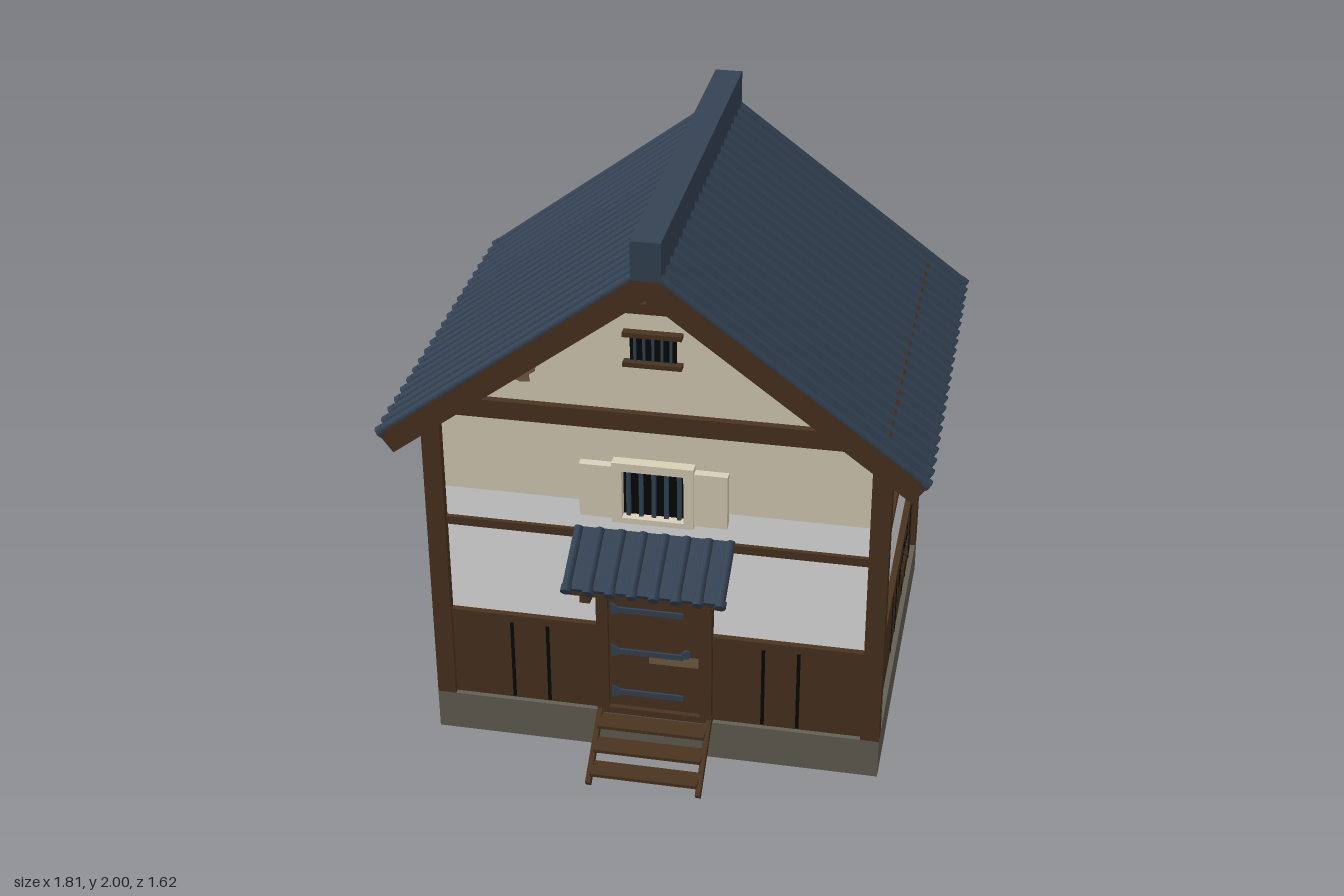
import * as THREE from 'three';

const mat = (name, color) => Object.assign(new THREE.MeshStandardMaterial({ color }), { name });
const M = {
  plaster: mat('cream plaster', 0xdbd1ba),
  white: mat('white plaster', 0xe6e6e6),
  pale: mat('pale plaster', 0xe0dacb),
  wood: mat('dark wood', 0x4a3320),
  tile: mat('slate blue tile', 0x344354),
  stone: mat('foundation stone', 0x636055),
  black: mat('black opening', 0x050607),
  worn: mat('worn plaster', 0x735e44),
};
const ZC = -0.065; // house centre in z
const SLOPE = 0.641; // main roof pitch

function add(parent, name, geo, material, x = 0, y = 0, z = 0) {
  const m = new THREE.Mesh(geo, material);
  m.name = name;
  m.position.set(x, y, z);
  parent.add(m);
  return m;
}
// box given by its lower and upper limits on each axis
function box(parent, name, material, x0, x1, y0, y1, z0, z1) {
  return add(parent, name, new THREE.BoxGeometry(x1 - x0, y1 - y0, z1 - z0), material,
    (x0 + x1) / 2, (y0 + y1) / 2, (z0 + z1) / 2);
}
function group(parent, name, x = 0, y = 0, z = 0) {
  const g = new THREE.Group();
  g.name = name;
  g.position.set(x, y, z);
  parent.add(g);
  return g;
}
function plate(points, depth, hole) {
  const toPoints = (p) => p.map(([x, y]) => new THREE.Vector2(x, y));
  const s = new THREE.Shape(toPoints(points));
  if (hole) s.holes.push(new THREE.Path(toPoints(hole)));
  return new THREE.ExtrudeGeometry(s, { depth, bevelEnabled: false });
}
const rect = (w, y0, y1) => [[-w, y0], [w, y0], [w, y1], [-w, y1]];

// ragged patch where the plaster has come off
function wornPatch(parent, x, y, r, z) {
  const pts = [];
  for (let i = 0; i < 14; i++) {
    const a = (i / 14) * Math.PI * 2, k = r * (0.8 + 0.2 * Math.sin(i * 2.3));
    pts.push([Math.cos(a) * k * 1.2, Math.sin(a) * k * 0.8]);
  }
  add(parent, 'wornPatch', plate(pts, 0.004), M.worn, x, y, z);
}

// barred window with a thick plaster frame and two open shutters
function barredWindow(parent, dist) {
  const g = group(parent, 'window', 0, 0, dist - 0.035);
  add(g, 'windowFrame', plate(rect(0.135, 0.95, 1.175), 0.045, rect(0.102, 0.97, 1.145)), M.plaster);
  box(g, 'windowOpening', M.black, -0.102, 0.102, 0.97, 1.145, 0.006, 0.012);
  for (let i = 0; i < 5; i++) {
    const x = -0.084 + i * 0.042;
    box(g, 'windowBar', M.tile, x - 0.007, x + 0.007, 0.97, 1.145, 0.012, 0.026);
  }
  for (const s of [-1, 1]) box(g, 'shutter', M.plaster, s * 0.19 - 0.055, s * 0.19 + 0.055, 0.96, 1.155, 0, 0.036);
}

// one wall: local x along it, local z outwards
function wall(parent, name, angle, half, dist, grooves, lower, band) {
  const g = group(parent, name, 0, 0, ZC);
  g.rotation.y = angle;
  const w = half - 0.04;
  const p = dist - 0.03; // plaster plane
  box(g, 'wainscot', M.wood, -w, w, 0.17, 0.5, p - 0.02, dist - 0.018);
  box(g, 'wainscotRail', M.wood, -w, w, 0.49, 0.52, p - 0.02, dist - 0.008);
  for (const x of grooves) box(g, 'plankGap', M.black, x - 0.006, x + 0.006, 0.175, 0.49, p, dist - 0.016);
  box(g, 'lowerPlaster', lower, -w, w, 0.52, 0.86, p - 0.02, p);
  box(g, 'middleRail', M.wood, -w, w, 0.86, 0.89, p - 0.02, dist - 0.015);
  box(g, 'bandPlaster', band, -w, w, 0.89, 1.0, p - 0.02, p);
  return g;
}

function gable(g, dist) {
  const p = dist - 0.03;
  add(g, 'gablePlaster', plate([[-0.74, 1], [0.74, 1], [0.74, 1.29], [0, 1.86], [-0.74, 1.29]], 0.02), M.plaster, 0, 0, p - 0.02);
  box(g, 'tieBeam', M.wood, -0.71, 0.71, 1.29, 1.355, p - 0.02, dist - 0.005);
}

function sideWall(g, dist, ventX) {
  box(g, 'upperPlaster', M.plaster, -0.62, 0.62, 1, 1.3, dist - 0.05, dist - 0.03);
  barredWindow(g, dist);
  box(g, 'ventOpening', M.black, ventX - 0.125, ventX + 0.125, 0.305, 0.375, dist - 0.02, dist - 0.014);
  for (let i = 0; i < 9; i++) {
    const x = ventX - 0.108 + i * 0.027;
    box(g, 'ventBar', M.wood, x - 0.003, x + 0.003, 0.305, 0.375, dist - 0.018, dist - 0.009);
  }
}

// half of the main roof: local x runs down the slope
function roofHalf(parent, turn) {
  const pivot = group(parent, 'roofHalf', 0, 1.93, ZC);
  pivot.rotation.y = turn;
  const g = group(pivot, 'roofSlope');
  g.rotation.z = -SLOPE;
  box(g, 'roofBoard', M.wood, 0, 1.1, -0.05, -0.033, -0.72, 0.72);
  box(g, 'roofPan', M.tile, 0, 1.115, -0.034, -0.018, -0.735, 0.735);
  const roll = new THREE.CylinderGeometry(0.016, 0.016, 1.11, 8).rotateZ(Math.PI / 2);
  const cap = new THREE.CylinderGeometry(0.02, 0.02, 0.025, 8).rotateZ(Math.PI / 2);
  for (let i = 0; i < 22; i++) {
    const z = -0.722 + (i * 1.444) / 21;
    add(g, 'tileRoll', roll, M.tile, 0.555, -0.018, z);
    add(g, 'tileEnd', cap, M.tile, 1.115, -0.02, z);
  }
  box(g, 'wallPlate', M.wood, 0.945, 0.957, -0.08, -0.013, -0.65, 0.65);
  for (const s of [-1, 1]) {
    box(g, 'bargeBoard', M.wood, 0, 1.125, -0.1, -0.018, s * 0.724 - 0.012, s * 0.724 + 0.012);
    box(g, 'gableRafter', M.wood, 0, 0.99, -0.106, -0.04, s * 0.645 - 0.02, s * 0.645 + 0.02);
  }
}

function gableDetails(g, dist) {
  const p = dist - 0.03;
  box(g, 'collarBeam', M.wood, -0.12, 0.12, 1.715, 1.75, p, dist);
  box(g, 'kingPost', M.wood, -0.016, 0.016, 1.72, 1.84, p, dist);
  for (const s of [-1, 1]) {
    const strut = add(g, 'strut', new THREE.BoxGeometry(0.015, 0.075, 0.02), M.wood, s * 0.034, 1.775, p + 0.01);
    strut.rotation.z = s * 0.75;
  }
  box(g, 'gableVent', M.black, -0.075, 0.075, 1.535, 1.64, p, p + 0.006);
  for (let i = 0; i < 5; i++) {
    const x = -0.058 + i * 0.029;
    box(g, 'gableVentBar', M.tile, x - 0.004, x + 0.004, 1.535, 1.64, p, p + 0.016);
  }
  for (const y of [1.525, 1.63]) box(g, 'gableVentSill', M.wood, -0.095, 0.095, y, y + 0.016, p, p + 0.03);
}

function door(g, d) {
  box(g, 'doorLeaf', M.wood, -0.16, 0.16, 0.17, 0.68, d - 0.03, d - 0.008);
  box(g, 'doorSill', M.wood, -0.2, 0.2, 0.17, 0.195, d - 0.03, d + 0.01);
  box(g, 'doorTopRail', M.worn, -0.155, 0.155, 0.66, 0.672, d - 0.01, d - 0.003);
  box(g, 'doorMiddleRail', M.worn, -0.02, 0.15, 0.385, 0.425, d - 0.01, d - 0.006);
  for (const s of [-1, 1]) box(g, 'doorPost', M.wood, s * 0.178 - 0.02, s * 0.178 + 0.02, 0.17, 0.72, d - 0.03, d + 0.01);
  box(g, 'doorLintel', M.wood, -0.21, 0.21, 0.685, 0.73, d - 0.03, d + 0.015);
  const strap = plate([[-0.15, -0.025], [-0.12, -0.01], [0.1, -0.01], [0.1, 0.01], [-0.12, 0.01], [-0.15, 0.025]], 0.009);
  for (const y of [0.255, 0.425, 0.595]) add(g, 'doorStrap', strap, M.tile, 0, y, d - 0.009);
  add(g, 'doorPull', new THREE.CylinderGeometry(0.016, 0.016, 0.012, 10).rotateX(Math.PI / 2), M.tile, 0.11, 0.44, d - 0.003);
}

function awning(g, d) {
  const a = group(g, 'awning', 0, 0.9, d);
  a.rotation.x = 0.53;
  box(a, 'awningPan', M.tile, -0.255, 0.255, -0.03, -0.012, -0.02, 0.21);
  box(a, 'awningBoard', M.wood, -0.24, 0.24, -0.05, -0.03, -0.02, 0.2);
  const roll = new THREE.CylinderGeometry(0.015, 0.015, 0.225, 8).rotateX(Math.PI / 2);
  const cap = new THREE.CylinderGeometry(0.019, 0.019, 0.025, 8).rotateX(Math.PI / 2);
  for (let i = 0; i < 8; i++) {
    const x = -0.255 + (i * 0.51) / 7;
    add(a, 'awningRoll', roll, M.tile, x, -0.012, 0.095);
    add(a, 'awningRollEnd', cap, M.tile, x, -0.016, 0.21);
  }
  for (const s of [-1, 1]) box(g, 'awningBracket', M.wood, s * 0.2 - 0.017, s * 0.2 + 0.017, 0.715, 0.745, d - 0.03, d + 0.15);
  box(g, 'awningBeam', M.wood, -0.25, 0.25, 0.74, 0.772, d + 0.115, d + 0.148);
}

function steps(g, d) {
  for (const s of [-1, 1]) {
    const board = add(g, 'stairStringer', new THREE.BoxGeometry(0.018, 0.03, 0.265), M.wood, s * 0.19, 0.096, d + 0.109);
    board.rotation.x = 0.66;
  }
  for (let i = 0; i < 3; i++) {
    const y = 0.057 + i * 0.052, z = d + 0.178 - i * 0.066;
    box(g, 'stairTread', M.wood, -0.185, 0.185, y - 0.006, y + 0.006, z - 0.035, z + 0.04);
    box(g, 'stairRiser', M.wood, -0.185, 0.185, y - 0.045, y, z - 0.03, z - 0.02);
  }
}

export function createModel() {
  const house = new THREE.Group();
  house.name = 'storehouse';
  const HX = 0.773, HZ = 0.655;

  // foundation and corner posts
  box(house, 'foundation', M.stone, -HX, HX, 0.022, 0.17, ZC - HZ, ZC + HZ);
  box(house, 'foundationUnderside', M.white, 0.004 - HX, HX - 0.004, 0.02, 0.024, ZC - HZ + 0.004, ZC + HZ - 0.004);
  for (const sx of [-1, 1]) for (const sz of [-1, 1]) {
    const x = sx * (HX - 0.032), z = ZC + sz * (HZ - 0.032);
    box(house, 'cornerPost', M.wood, x - 0.032, x + 0.032, 0.17, 1.29, z - 0.032, z + 0.032);
  }

  // walls
  const front = wall(house, 'frontWall', 0, HX, HZ, [-0.5, -0.375, 0.37, 0.49], M.white, M.white);
  gable(front, HZ);
  gableDetails(front, HZ);
  barredWindow(front, HZ);
  door(front, HZ);
  awning(front, HZ);
  steps(front, HZ);
  wornPatch(front, -0.45, 1.465, 0.065, HZ - 0.03);

  const back = wall(house, 'backWall', Math.PI, HX, HZ, [-0.5, -0.37, -0.12, 0.12, 0.25, 0.5], M.pale, M.white);
  gable(back, HZ);
  wornPatch(back, 0.47, 1.44, 0.065, HZ - 0.03);
  wornPatch(back, -0.48, 0.555, 0.06, HZ - 0.03);
  wornPatch(back, 0.54, 0.555, 0.055, HZ - 0.03);

  const right = wall(house, 'rightWall', Math.PI / 2, HZ, HX, [-0.5, -0.135, -0.005, 0.24, 0.365, 0.49], M.white, M.white);
  sideWall(right, HX, 0.22);
  const left = wall(house, 'leftWall', -Math.PI / 2, HZ, HX, [-0.49, -0.365, -0.24, 0.005, 0.135, 0.5], M.pale, M.plaster);
  sideWall(left, HX, -0.22);
  wornPatch(left, 0.09, 0.555, 0.055, HX - 0.03);

  // roof
  roofHalf(house, 0);
  roofHalf(house, Math.PI);
  box(house, 'ridgeCap', M.tile, -0.048, 0.048, 1.87, 2.0, ZC - 0.737, ZC + 0.737);
  return house;
}
